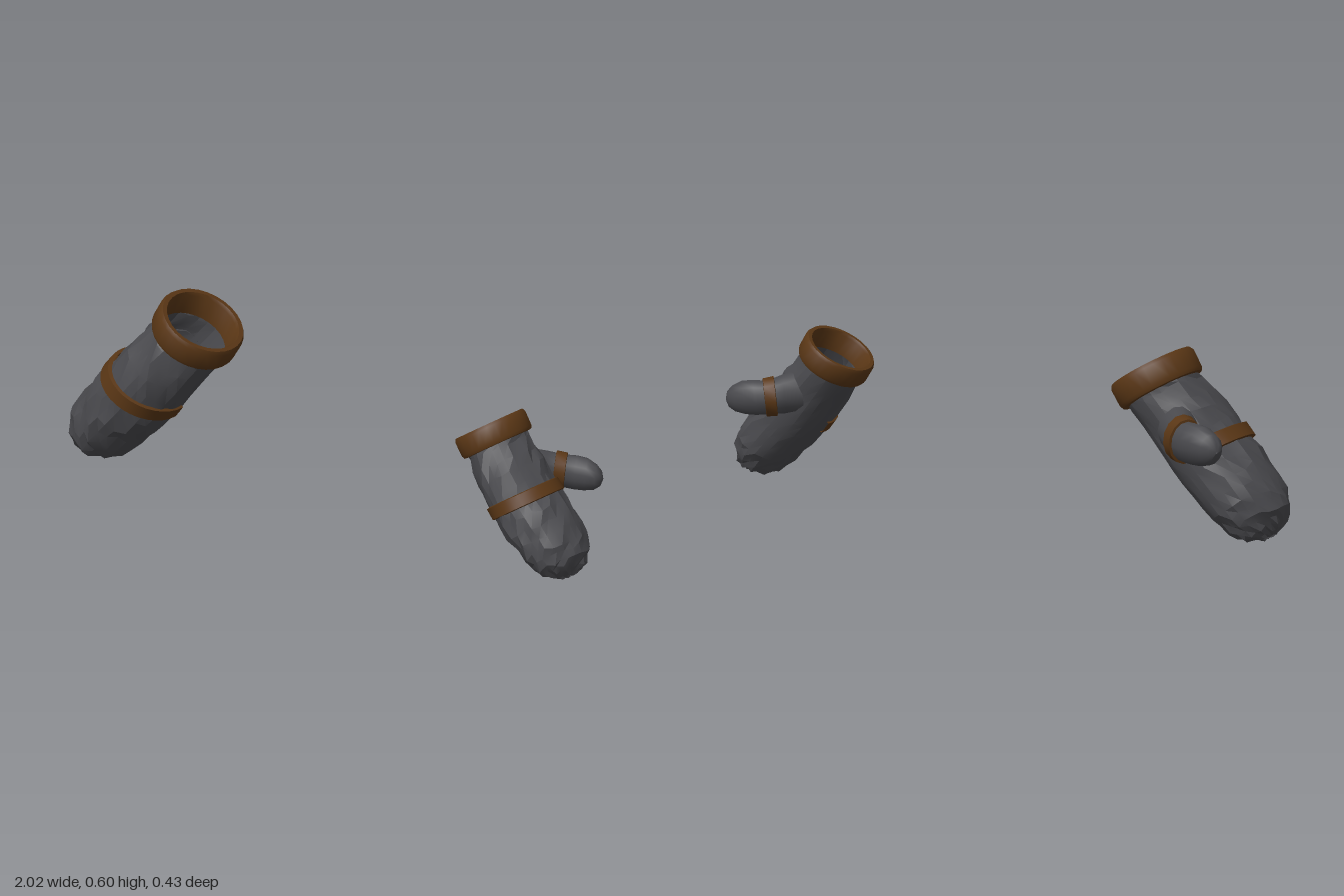
import * as THREE from 'three';
import { toCreasedNormals } from 'three/addons/utils/BufferGeometryUtils.js';

const fabric = new THREE.MeshStandardMaterial({ color: 0x49494d, side: THREE.DoubleSide });
fabric.name = 'charcoalFabric';
const leather = new THREE.MeshStandardMaterial({ color: 0x593615, side: THREE.DoubleSide });
leather.name = 'brownLeather';

const DOWN = new THREE.Vector3(0, -1, 0);
const THUMB_AXIS = new THREE.Vector3(-0.187, -0.153, -0.158).normalize();

// Repeatable noise in the range -1..1
function noise(i, j) {
  const s = Math.sin(i * 127.1 + j * 311.7 + 7.3) * 43758.5453;
  return (s - Math.floor(s)) * 2 - 1;
}

// Inserts rings between the given stations
function refine(stations, n) {
  const out = [];
  stations.forEach((s, k) => {
    const next = stations[k + 1];
    if (!next) return out.push(s);
    for (let i = 0; i < n; i++) out.push(s.map((a, c) => a + (next[c] - a) * i / n));
  });
  return out;
}

// Skins elliptical rings [x, y, z, radiusU, radiusV] standing square to an axis
function loft(stations, axis, { segments = 24, start = 0, sweep = Math.PI * 2, rough = () => 0, crease = 0.6 } = {}) {
  const v = new THREE.Vector3(0, 0, 1).addScaledVector(axis, -axis.z).normalize();
  const u = new THREE.Vector3().crossVectors(v, axis);
  const closed = sweep > 6.28;
  const cols = closed ? segments : segments + 1;
  const pos = [], idx = [];
  stations.forEach(([x, y, z, ru, rv], i) => {
    for (let j = 0; j < cols; j++) {
      const t = start + sweep * j / segments;
      const amount = rough(t, i / (stations.length - 1));
      const k = 1 + noise(i, j) * amount;
      const p = new THREE.Vector3(x, y, z)
        .addScaledVector(u, Math.cos(t) * ru * k)
        .addScaledVector(v, Math.sin(t) * rv * k)
        .addScaledVector(axis, noise(j, i + 50) * amount * 0.15);
      pos.push(p.x, p.y, p.z);
    }
  });
  for (let i = 0; i < stations.length - 1; i++) {
    for (let j = 0; j < segments; j++) {
      const a = i * cols + j, b = i * cols + (j + 1) % cols;
      idx.push(a, b, a + cols, b, b + cols, a + cols);
    }
  }
  const geo = new THREE.BufferGeometry();
  geo.setAttribute('position', new THREE.Float32BufferAttribute(pos, 3));
  geo.setIndex(idx);
  return toCreasedNormals(geo, crease);
}

function part(name, geometry, material) {
  const mesh = new THREE.Mesh(geometry, material);
  mesh.name = name;
  return mesh;
}

// Mitten hanging down its own -y from the centre of the cuff opening
function buildMitten() {
  const mitten = new THREE.Group();

  // Hand: hollow, crumpled outside, smoother on the palm
  const hand = refine([
    [0, -0.06, 0.002, 0.117, 0.127],
    [-0.003, -0.10, 0.008, 0.117, 0.13],
    [-0.02, -0.20, 0.027, 0.124, 0.144],
    [-0.037, -0.325, 0.035, 0.129, 0.149],
    [-0.058, -0.43, 0.036, 0.128, 0.15],
    [-0.076, -0.525, 0.036, 0.118, 0.144],
    [-0.082, -0.585, 0.036, 0.1, 0.124],
    [-0.083, -0.625, 0.036, 0.068, 0.086],
    [-0.082, -0.645, 0.036, 0.028, 0.036],
    [-0.082, -0.649, 0.036, 0.002, 0.002],
  ], 2);
  const crumple = (t, f) => {
    if (f < 0.08) return 0;
    const palm = Math.max(0, Math.cos(t + 0.9));
    return f > 0.6 ? 0.055 : 0.06 * (1 - 0.85 * palm);
  };
  mitten.add(part('hand', loft(hand, DOWN, { rough: crumple, crease: 0.3 }), fabric));

  // Cuff: thick rolled band around the opening
  const cuff = [
    [0, -0.085, 0.004, 0.11, 0.12],
    [0, -0.01, 0.004, 0.114, 0.124],
    [0, 0, 0.004, 0.12, 0.13],
    [0, 0, 0.004, 0.134, 0.144],
    [0, -0.012, 0.004, 0.141, 0.151],
    [0, -0.07, 0.004, 0.14, 0.15],
    [0, -0.082, 0.004, 0.134, 0.144],
    [0, -0.085, 0.004, 0.11, 0.12],
  ];
  mitten.add(part('cuff', loft(cuff, DOWN, { segments: 28, crease: 0.7 }), leather));

  // Strap: wraps the back of the hand and stops at the palm
  const strap = [
    [-0.034, -0.288, 0.035, 0.126, 0.146],
    [-0.035, -0.291, 0.035, 0.138, 0.157],
    [-0.041, -0.337, 0.035, 0.139, 0.158],
    [-0.042, -0.340, 0.035, 0.126, 0.146],
  ];
  mitten.add(part('handStrap', loft(strap, DOWN, { start: -0.1, sweep: 4.65 }), leather));

  // Thumb: flares into the hand and reaches out level
  const thumb = [
    [-0.03, -0.215, -0.052, 0.082, 0.075],
    [-0.06, -0.245, -0.11, 0.074, 0.062],
    [-0.089, -0.274, -0.16, 0.064, 0.05],
    [-0.13, -0.302, -0.18, 0.067, 0.052],
    [-0.163, -0.325, -0.192, 0.064, 0.05],
    [-0.192, -0.35, -0.202, 0.05, 0.04],
    [-0.208, -0.364, -0.21, 0.03, 0.024],
    [-0.214, -0.369, -0.213, 0.003, 0.003],
  ];
  mitten.add(part('thumb', loft(thumb, THUMB_AXIS, { segments: 14, crease: 0.9 }), fabric));

  // Thumb strap
  const thumbStrap = [
    [-0.074, -0.259, -0.139, 0.063, 0.05],
    [-0.075, -0.26, -0.141, 0.076, 0.062],
    [-0.1, -0.282, -0.165, 0.073, 0.059],
    [-0.101, -0.283, -0.166, 0.06, 0.046],
  ];
  mitten.add(part('thumbStrap', loft(thumbStrap, THUMB_AXIS, { segments: 14 }), leather));

  mitten.rotation.z = -0.559;
  return mitten;
}

export function createModel() {
  const model = new THREE.Group();
  model.name = 'mittens';

  const right = new THREE.Group();
  right.name = 'rightMitten';
  right.add(buildMitten());
  right.position.set(-0.54, 0.525, 0.022);

  // The left mitten is a smaller mirror image
  const left = new THREE.Group();
  left.name = 'leftMitten';
  left.add(buildMitten());
  left.position.set(0.62, 0.455, 0.055);
  left.scale.set(-0.83, 0.83, 0.83);

  model.add(right, left);
  return model;
}
